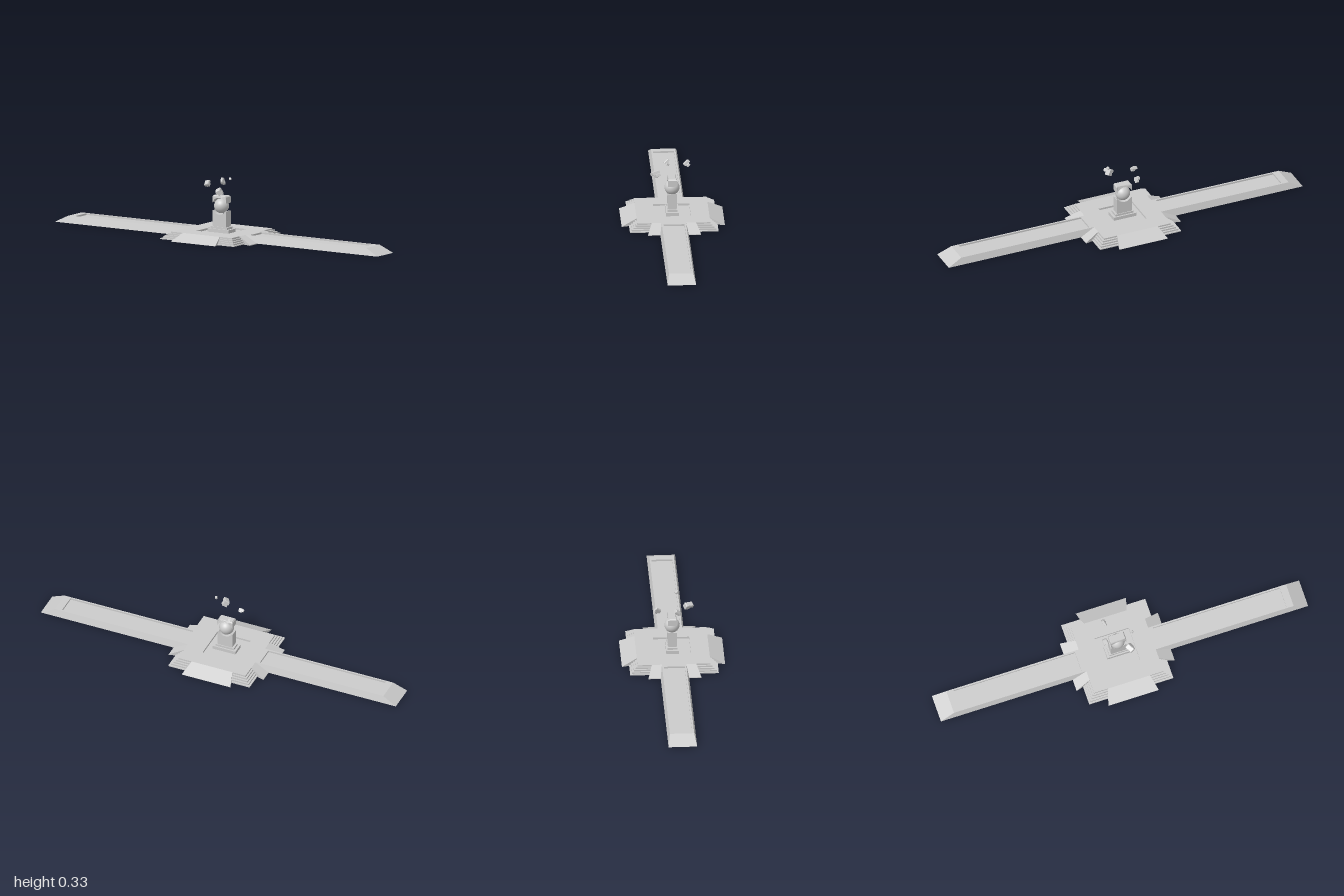
import * as THREE from 'three';

const mat = new THREE.MeshStandardMaterial({ color: 0xcccccc, flatShading: true });
const smooth = new THREE.MeshStandardMaterial({ color: 0xcccccc });

// Solid skinned over rings of four corners, each ring counter-clockwise from above
function ringSolid(rings) {
  const pos = [];
  const quad = (a, b, c, d) => pos.push(...a, ...b, ...c, ...a, ...c, ...d);
  for (let r = 0; r < rings.length - 1; r++) {
    for (let i = 0; i < 4; i++) {
      const j = (i + 1) % 4;
      quad(rings[r][i], rings[r][j], rings[r + 1][j], rings[r + 1][i]);
    }
  }
  const [a, b, c, d] = rings[0];
  quad(d, c, b, a);
  quad(...rings[rings.length - 1]);
  const geo = new THREE.BufferGeometry();
  geo.setAttribute('position', new THREE.Float32BufferAttribute(pos, 3));
  geo.computeVertexNormals();
  return geo;
}

const rect = (x0, x1, hz, y) => [[x0, y, hz], [x1, y, hz], [x1, y, -hz], [x0, y, -hz]];
const square = (h, y) => rect(-h, h, h, y);

function add(parent, name, geo, material = mat) {
  const mesh = new THREE.Mesh(geo, material);
  mesh.name = name;
  parent.add(mesh);
  return mesh;
}

// Extrude an x-y outline, centred in z
function slab(shape, depth, bevel = 0) {
  const geo = new THREE.ExtrudeGeometry(shape, {
    depth: depth - 2 * bevel, curveSegments: 20, bevelEnabled: bevel > 0,
    bevelThickness: bevel, bevelSize: bevel, bevelOffset: -bevel, bevelSegments: 1,
  });
  return geo.translate(0, 0, -depth / 2 + bevel);
}

export function createModel() {
  const model = new THREE.Group();
  const monument = new THREE.Group();
  monument.name = 'monument';
  monument.position.x = -0.015;
  model.add(monument);

  // Stepped square platform with a sunken court
  const steps = [];
  for (let i = 0; i < 5; i++) {
    const h = 0.229 - i * 0.01;
    steps.push(square(h, i ? i * 0.008 : 0.003), square(h, (i + 1) * 0.008));
  }
  steps.push(square(0.094, 0.04), square(0.094, 0.03));
  add(monument, 'platform', ringSolid(steps));

  // Flared ramp on each of the four sides
  for (let k = 0; k < 4; k++) {
    const foot = k % 2 ? 0 : 0.003;
    const corners = [[-0.137, 0.004, 0.267], [0.137, 0.004, 0.267], [0.115, 0.04, 0.189], [-0.115, 0.04, 0.189]];
    const ramp = add(monument, 'ramp', ringSolid([corners.map(([x, , z]) => [x, foot, z]), corners]));
    ramp.rotation.y = k * Math.PI / 2;
  }

  // Long causeways with sloped sides and a sunken walkway
  for (const [tip, turn] of [[1.015, 0], [0.985, Math.PI]]) {
    const arm = add(monument, 'causeway', ringSolid([
      rect(0.185, tip, 0.074, 0.003),
      rect(0.189, tip - 0.075, 0.063, 0.04),
      rect(0.212, tip - 0.112, 0.054, 0.04),
      rect(0.212, tip - 0.112, 0.054, 0.031),
    ]));
    arm.rotation.y = turn;
    // the two arms differ in length so that the tips reach equally far
    if (turn === 0) arm.name = 'leftCauseway'; else arm.name = 'rightCauseway';
  }

  // Pedestal tiers
  const tiers = [[0.064, 0.033, 0.029, 0.048], [0.051, 0.025, 0.048, 0.059], [0.04, 0.021, 0.059, 0.064]];
  for (const [hx, hz, y0, y1] of tiers) {
    add(monument, 'pedestalTier', ringSolid([rect(-hx, hx, hz, y0), rect(-hx, hx, hz, y1)]));
  }

  // Post and cap, each hollowed by an arc around the orb
  const cy = 0.167, r = 0.044, w = 0.042;
  const postTop = 0.143, capBottom = 0.184;
  const pa = Math.asin((postTop - cy) / r), ca = Math.asin((capBottom - cy) / r);
  const post = new THREE.Shape();
  post.moveTo(-w, 0.063);
  post.lineTo(w, 0.063);
  post.lineTo(w, postTop);
  post.absarc(0, cy, r, pa, -Math.PI - pa, true);
  post.lineTo(-w, postTop);
  add(monument, 'post', slab(post, 0.045));

  const cap = new THREE.Shape();
  cap.moveTo(w, capBottom);
  cap.lineTo(w, 0.216);
  cap.lineTo(w - 0.005, 0.222);
  cap.lineTo(-w + 0.005, 0.222);
  cap.lineTo(-w, 0.216);
  cap.lineTo(-w, capBottom);
  cap.absarc(0, cy, r, Math.PI - ca, ca, true);
  const capGeo = slab(cap, 0.045);
  // pinch the top edge for a chamfer front and back
  const p = capGeo.attributes.position;
  for (let i = 0; i < p.count; i++) if (p.getY(i) > 0.22) p.setZ(i, p.getZ(i) * 0.82);
  add(monument, 'cap', capGeo);

  add(monument, 'orb', new THREE.SphereGeometry(0.039, 32, 20), smooth).position.y = cy;

  // Floating broken stones: position, rotation, then boxes [size, offset]
  const stones = [
    [[0.028, 0.254, 0.087], [0.15, 0.5, 0.45], [
      [[0.028, 0.018, 0.043], [0, 0.008, 0]], [[0.026, 0.018, 0.026], [0.002, -0.008, -0.006]]]],
    [[-0.061, 0.279, -0.08], [0.7, 0.35, 0.1], [
      [[0.013, 0.019, 0.034], [0, 0.005, 0]], [[0.013, 0.014, 0.018], [0.002, -0.009, 0.002]]]],
    [[-0.088, 0.281, 0.023], [0.75, 0.2, 0.15], [
      [[0.026, 0.015, 0.03], [0, 0.002, 0]], [[0.016, 0.012, 0.018], [0.004, -0.006, 0.005]]]],
    [[0.056, 0.318, 0.027], [-0.45, 0.4, 0.3], [[[0.012, 0.01, 0.015], [0, 0, 0]]]],
  ];
  for (const [at, rot, boxes] of stones) {
    const stone = new THREE.Group();
    stone.name = 'floatingStone';
    stone.position.set(...at);
    stone.rotation.set(...rot);
    for (const [size, offset] of boxes) {
      const [hx, hy, hz] = size.map((s) => s / 2);
      // worn block: narrower at its top
      const geo = ringSolid([rect(-hx, hx, hz, -hy), rect(-hx, hx, hz, hy * 0.5), rect(-hx * 0.8, hx * 0.8, hz * 0.85, hy)]);
      add(stone, 'stoneBlock', geo).position.set(...offset);
    }
    model.add(stone);
  }
  return model;
}
